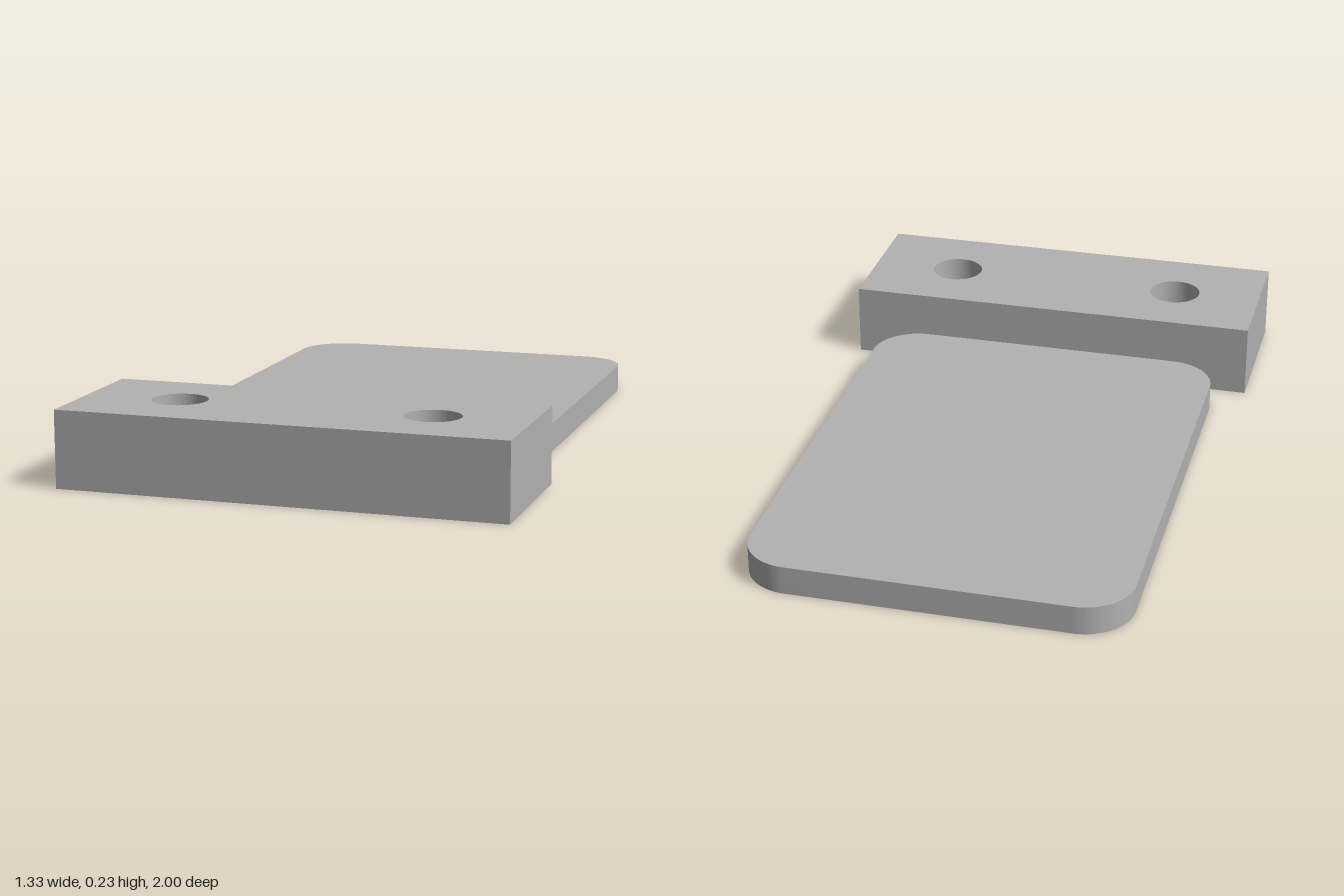
import * as THREE from 'three';
import { toCreasedNormals } from 'three/addons/utils/BufferGeometryUtils.js';

const HOLE_X = 0.38, HOLE_Z = 0.76;

// Rounded (or square) rectangle in plan; shape y is -z
function rectShape(x, z0, z1, r = 0) {
  const s = new THREE.Shape();
  if (r === 0) {
    s.moveTo(-x, -z1).lineTo(x, -z1).lineTo(x, -z0).lineTo(-x, -z0).closePath();
    return s;
  }
  s.absarc(x - r, -z1 + r, r, -Math.PI / 2, 0);
  s.absarc(x - r, -z0 - r, r, 0, Math.PI / 2);
  s.absarc(-x + r, -z0 - r, r, Math.PI / 2, Math.PI);
  s.absarc(-x + r, -z1 + r, r, Math.PI, Math.PI * 1.5);
  s.closePath();
  return s;
}

// Regular polygon hole with a vertex on the x axis
function polygonHole(cx, cz, r, sides) {
  const pts = [];
  for (let i = 0; i < sides; i++) {
    const a = -i / sides * Math.PI * 2;
    pts.push(new THREE.Vector2(cx + r * Math.cos(a), -cz + r * Math.sin(a)));
  }
  return new THREE.Path(pts);
}

// Upright slab from a plan shape between two heights
function slab(name, shape, y0, y1, material) {
  let g = new THREE.ExtrudeGeometry(shape, { depth: y1 - y0, bevelEnabled: false, curveSegments: 16 });
  g.rotateX(-Math.PI / 2);
  g.translate(0, y0, 0);
  g = toCreasedNormals(g, 0.5);
  const mesh = new THREE.Mesh(g, material);
  mesh.name = name;
  return mesh;
}

export function createModel() {
  const grey = new THREE.MeshStandardMaterial({ color: 0xb2b2b2 });
  grey.name = 'grey';
  const model = new THREE.Group();
  model.name = 'mountingPlate';

  // Flat plate with rounded corners
  model.add(slab('plate', rectShape(0.57, -1, 0.525, 0.15), 0, 0.088, grey));

  // Clamp block: hexagonal nut pockets below, round bolt holes above
  const block = new THREE.Group();
  block.name = 'block';
  const lower = rectShape(0.665, 0.525, 1);
  const upper = rectShape(0.665, 0.525, 1);
  for (const side of [-1, 1]) {
    lower.holes.push(polygonHole(side * HOLE_X, HOLE_Z, 0.153, 6));
    upper.holes.push(polygonHole(side * HOLE_X, HOLE_Z, 0.083, 48));
  }
  block.add(slab('nutPocketLayer', lower, 0, 0.12, grey));
  block.add(slab('boltHoleLayer', upper, 0.12, 0.23, grey));
  model.add(block);
  return model;
}
